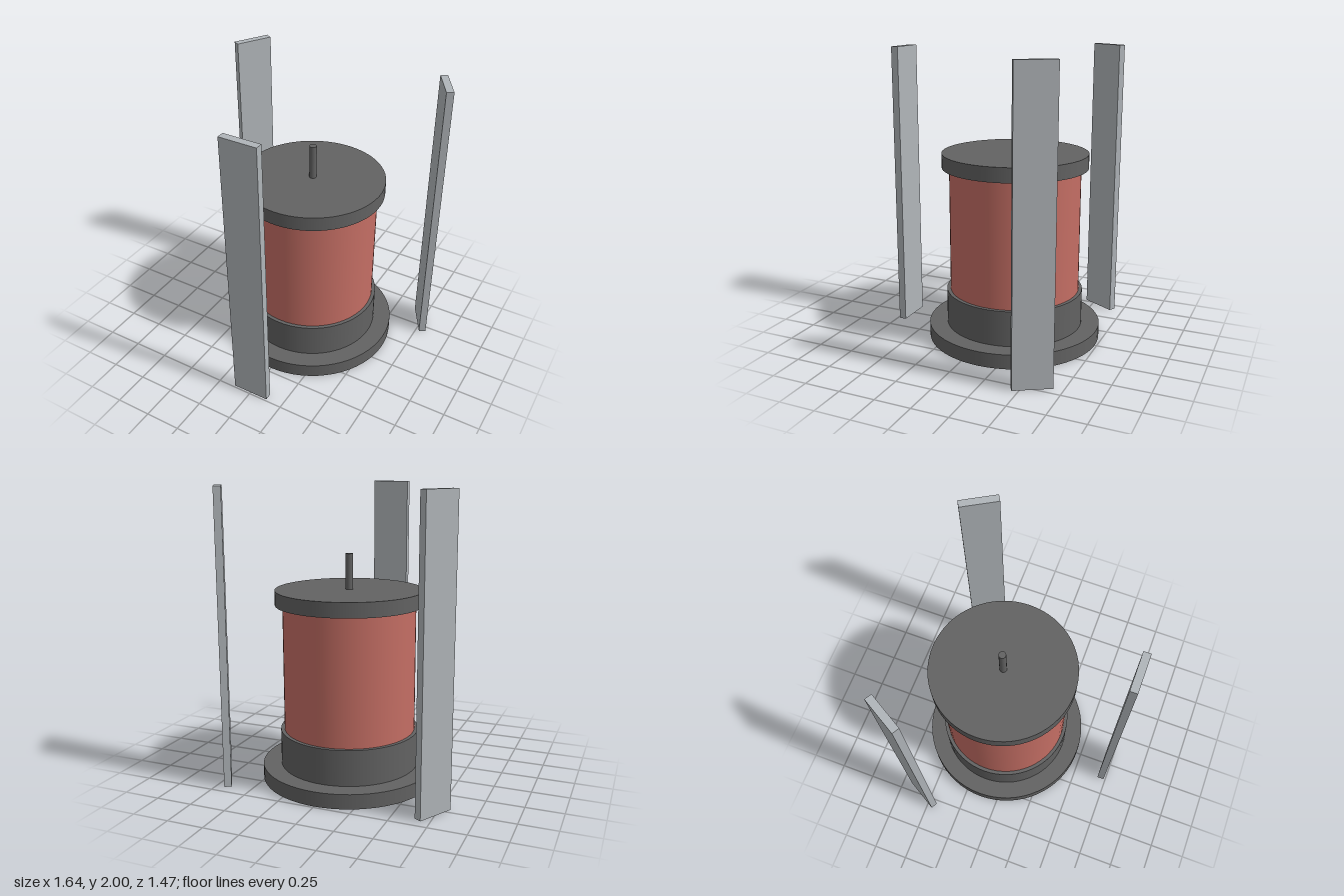
import * as THREE from 'three';

export function createModel() {
  const model = new THREE.Group();
  model.name = 'coilWithPanels';

  const material = (name, color) => {
    const m = new THREE.MeshStandardMaterial({ color });
    m.name = name;
    return m;
  };
  const darkGrey = material('darkGrey', 0x626262);
  const copperRed = material('copperRed', 0xc46e64);
  const paleSteel = material('paleSteel', 0xb0b5b9);

  // The spool axis sits behind the middle; everything is built around it
  const assembly = new THREE.Group();
  assembly.name = 'assembly';
  assembly.position.z = -0.136;
  model.add(assembly);

  // Upright cylinder between two heights
  function drum(name, radius, y0, y1, mat, segments = 64) {
    const mesh = new THREE.Mesh(new THREE.CylinderGeometry(radius, radius, y1 - y0, segments), mat);
    mesh.name = name;
    mesh.position.y = (y0 + y1) / 2;
    assembly.add(mesh);
  }

  // Stacked spool
  drum('basePlate', 0.6, 0, 0.1, darkGrey);
  drum('collar', 0.475, 0.1, 0.345, darkGrey);
  drum('coilBody', 0.45, 0.345, 1.21, copperRed);
  drum('topCap', 0.5, 1.21, 1.31, darkGrey);
  drum('spindle', 0.025, 1.31, 1.55, darkGrey, 16);

  // Three tall panels standing around the spool, facing outward
  const panelGeometry = new THREE.BoxGeometry(0.26, 2, 0.05);
  const panelDistance = 0.847;
  ['frontPanel', 'backLeftPanel', 'backRightPanel'].forEach((name, i) => {
    const angle = (i * Math.PI * 2) / 3;
    const panel = new THREE.Mesh(panelGeometry, paleSteel);
    panel.name = name;
    panel.position.set(Math.sin(angle) * panelDistance, 1, Math.cos(angle) * panelDistance);
    panel.rotation.y = angle;
    assembly.add(panel);
  });

  return model;
}
